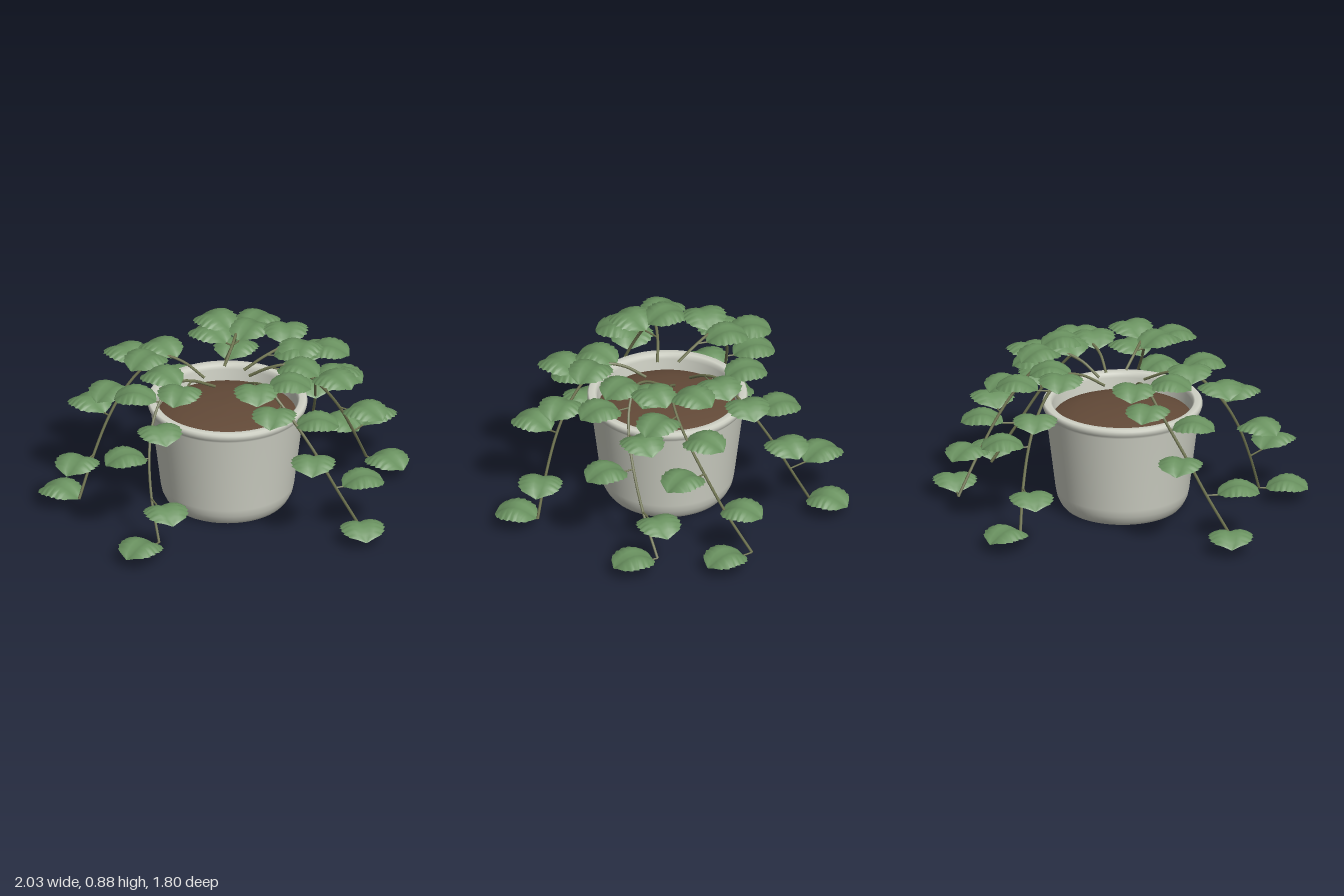
import * as THREE from 'three';

const potGlaze = new THREE.MeshStandardMaterial({ color: 0xd0d2c6 });
const soilBrown = new THREE.MeshStandardMaterial({ color: 0x634a38 });
const stemOlive = new THREE.MeshStandardMaterial({ color: 0x6f7450 });
const leafGreen = new THREE.MeshStandardMaterial({ color: 0x6a9260, side: THREE.DoubleSide });

// height of each stem at its start and at its seven leaf nodes
const LEVELS = [0.72, 0.79, 0.81, 0.74, 0.63, 0.48, 0.28, 0.06];

// plan [x, z] of every stem: start, middle, tip and the centres of its leaves
const STEMS = [
  { name: 'backStem', plan: [[0.01, -0.03], [0.14, -0.37], [0, -0.7]],
    leaves: [[0.2, -0.25], [0.03, -0.35], [0.28, -0.43], [0.04, -0.54], [0.2, -0.625], [-0.11, -0.73], [0.01, -0.8]] },
  { name: 'rightStem', plan: [[-0.12, 0.075], [-0.47, -0.08], [-0.81, 0.08]],
    leaves: [[-0.315, -0.14], [-0.43, 0.02], [-0.49, -0.22], [-0.62, 0], [-0.695, -0.18], [-0.83, 0.13], [-0.895, 0]] },
  { name: 'frontRightStem', plan: [[-0.085, 0.18], [-0.45, 0.36], [-0.49, 0.65]],
    leaves: [[-0.325, 0.4], [-0.385, 0.22], [-0.33, 0.4], [-0.545, 0.285], [-0.46, 0.52], [-0.64, 0.49], [-0.48, 0.775], [-0.61, 0.74]].filter((_, i) => i !== 2) },
  { name: 'frontStem', plan: [[0.07, 0.2], [0.25, 0.53], [0.6, 0.65]],
    leaves: [[0.08, 0.47], [0.27, 0.45], [0.14, 0.66], [0.395, 0.58], [0.335, 0.755], [0.635, 0.625], [0.6, 0.77]] },
  { name: 'leftStem', plan: [[0.12, 0.1], [0.47, 0.18], [0.8, -0.08]],
    leaves: [[0.36, 0.25], [0.41, 0.06], [0.54, 0.32], [0.62, 0.06], [0.73, 0.23], [0.85, -0.1], [0.89, 0.03]] },
  { name: 'backLeftStem', plan: [[0.105, 0.03], [0.47, -0.12], [0.6, -0.55]],
    leaves: [[0.38, 0.06], [0.375, -0.155], [0.58, -0.02], [0.52, -0.26], [0.69, -0.19], [0.59, -0.49], [0.73, -0.44]] },
];

// arched round leaf with saw-toothed sides, pointing along +z
function leafGeometry() {
  const rows = 28, cols = 8, length = 0.23, half = 0.118;
  const pos = [], index = [];
  for (let i = 0; i <= rows; i++) {
    const u = i / rows;
    const round = Math.sqrt(1 - Math.pow(Math.abs(2 * u - 1), 2.4));
    const w = half * Math.max(round, 0.04) * (1.04 - 0.14 * ((i % 4) / 4));
    for (let j = 0; j <= cols; j++) {
      const v = (j / cols) * 2 - 1, a = Math.abs(v) * round;
      pos.push(v * w, 0.055 * Math.sin(Math.PI * u) + 0.06 * a - 0.08 * a * a, (u - 0.5) * length);
    }
  }
  const n = cols + 1;
  for (let i = 0; i < rows; i++) {
    for (let j = 0; j < cols; j++) {
      const a = i * n + j, b = a + n;
      index.push(a, b, b + 1, a, b + 1, a + 1);
    }
  }
  const geo = new THREE.BufferGeometry();
  geo.setAttribute('position', new THREE.Float32BufferAttribute(pos, 3));
  geo.setIndex(index);
  geo.computeVertexNormals();
  return geo;
}

function lathe(name, points, material) {
  const profile = points.map(([r, y]) => new THREE.Vector2(r, y));
  const mesh = new THREE.Mesh(new THREE.LatheGeometry(profile, 64), material);
  mesh.name = name;
  return mesh;
}

function tube(name, curve, segments, radius) {
  const mesh = new THREE.Mesh(new THREE.TubeGeometry(curve, segments, radius, 6), stemOlive);
  mesh.name = name;
  return mesh;
}

// one trailing stem with its leaves
function buildStem({ name, plan, leaves }, leafGeo) {
  const group = new THREE.Group();
  group.name = name;
  const [start, mid, tip] = plan.map(([x, z]) => new THREE.Vector2(x, z));
  const control = mid.clone().multiplyScalar(2).addScaledVector(start, -0.5).addScaledVector(tip, -0.5);
  const path = new THREE.QuadraticBezierCurve(start, control, tip);
  const nodes = LEVELS.map((y, k) => {
    const p = path.getPoint(k / 7);
    return new THREE.Vector3(p.x, y, p.y);
  });
  group.add(tube('vine', new THREE.CatmullRomCurve3(nodes), 48, 0.008));

  leaves.forEach(([x, z], k) => {
    const node = nodes[k + 1];
    const dir = new THREE.Vector3(x - node.x, 0, z - node.z).normalize();
    const leaf = new THREE.Mesh(leafGeo, leafGreen);
    leaf.name = 'leaf';
    leaf.position.set(x, node.y, z);
    leaf.rotation.y = Math.atan2(dir.x, dir.z);
    group.add(leaf);
    // short stalk wherever the leaf stands off the vine
    const base = leaf.position.clone().addScaledVector(dir, -0.11);
    if (base.clone().sub(node).dot(dir) > 0.01) {
      group.add(tube('leafStalk', new THREE.LineCurve3(node, base), 1, 0.005));
    }
  });
  return group;
}

export function createModel() {
  const model = new THREE.Group();
  model.name = 'pottedPlant';

  // pot with a rounded foot and a slim rim, and mounded soil
  const pot = new THREE.Group();
  pot.name = 'pot';
  pot.position.z = 0.1;
  pot.add(lathe('potBody', [
    [0, 0], [0.29, 0], [0.318, 0.004], [0.335, 0.025], [0.352, 0.06], [0.36, 0.1],
    [0.414, 0.545], [0.425, 0.56], [0.43, 0.575], [0.43, 0.59], [0.422, 0.6],
    [0.39, 0.6], [0.38, 0.592], [0.377, 0.57], [0.37, 0.48],
  ], potGlaze));
  pot.add(lathe('soil', [
    [0.374, 0.505], [0.33, 0.525], [0.25, 0.545], [0.13, 0.558], [0, 0.562],
  ], soilBrown));
  model.add(pot);

  const leafGeo = leafGeometry();
  STEMS.forEach((stem) => model.add(buildStem(stem, leafGeo)));
  return model;
}
